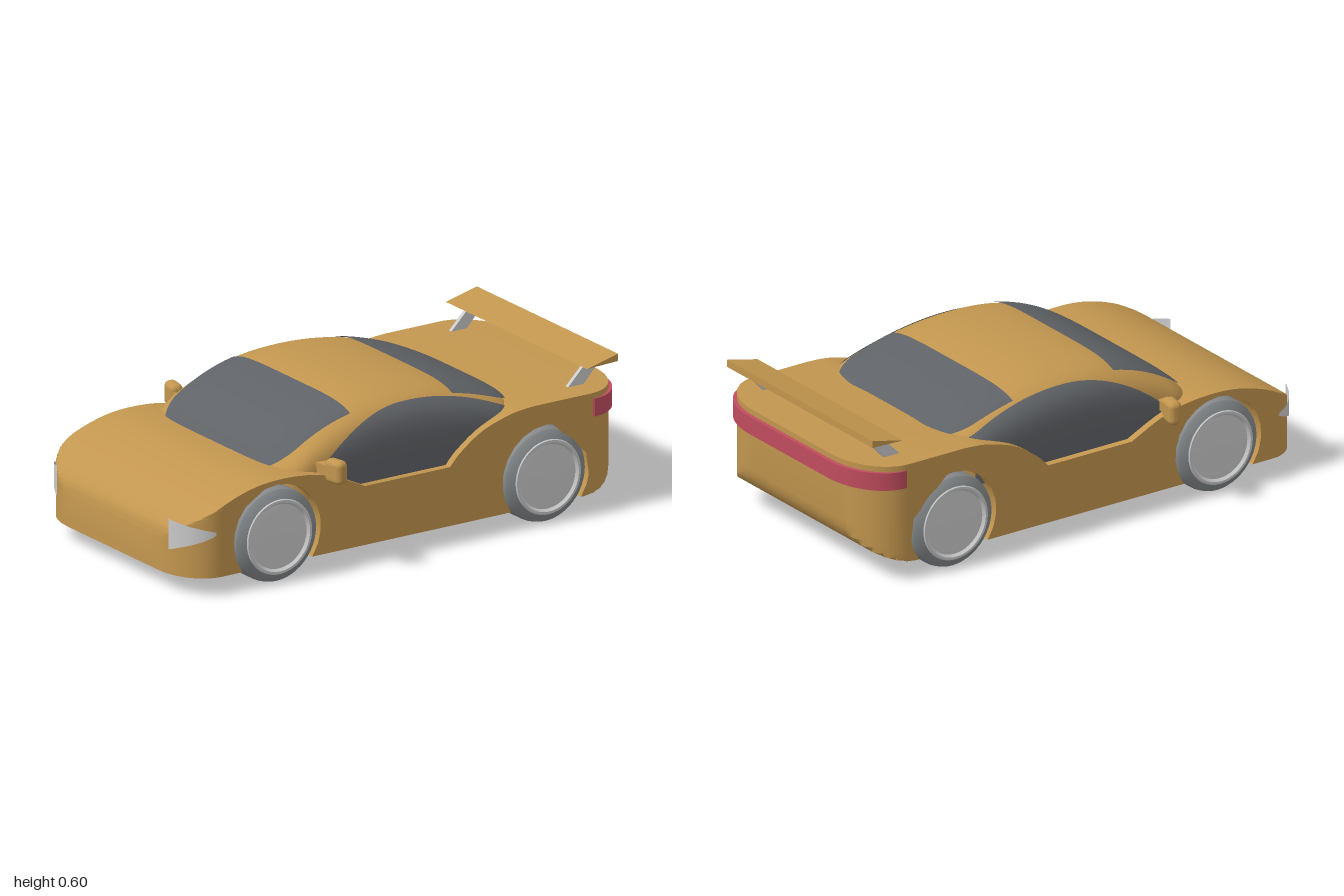
import * as THREE from 'three';
import { toCreasedNormals } from 'three/addons/utils/BufferGeometryUtils.js';
import { RoundedBoxGeometry } from 'three/addons/geometries/RoundedBoxGeometry.js';
import { ParametricGeometry } from 'three/addons/geometries/ParametricGeometry.js';

const mat = (color, side = THREE.FrontSide) => new THREE.MeshStandardMaterial({ color, side });
const paint = mat(0xc2964f), paintShell = mat(0xc2964f, THREE.DoubleSide);
const glass = mat(0x5f6266, THREE.DoubleSide), red = mat(0xc04c5e);
const rubber = mat(0x85898b), metal = mat(0xcccccc), lamp = mat(0xcccccc, THREE.DoubleSide);

const W = 0.495; // half width of the body
const WELL = 0.33; // inner wall of the wheel wells
const AXLES = { front: -0.603, rear: 0.6 };

// Plan outline: how far the body reaches forward and back at a given z
const corner = (z, start) => {
  const s = Math.min(1, Math.max(0, (Math.abs(z) - start) / (W - start)));
  return 1 - Math.sqrt(1 - s * s);
};
const noseX = z => -1 + 0.15 * corner(z, 0.3);
const tailX = z => 0.98 - 0.18 * corner(z, 0.25);

// Side profile of the body, with or without wheel arches
function bodyProfile(arches) {
  const v = pts => pts.map(p => new THREE.Vector2(...p));
  const s = new THREE.Shape();
  s.moveTo(-1, 0.07);
  s.lineTo(-1, 0.2);
  s.splineThru(v([[-0.985, 0.25], [-0.93, 0.3], [-0.82, 0.355], [-0.7, 0.39], [-0.58, 0.4],
    [-0.45, 0.39], [-0.34, 0.36], [-0.21, 0.3]]));
  s.lineTo(0.17, 0.3);
  s.splineThru(v([[0.22, 0.35], [0.32, 0.415], [0.45, 0.455], [0.55, 0.465]]));
  s.lineTo(0.98, 0.465);
  s.lineTo(0.98, 0.22);
  s.bezierCurveTo(0.97, 0.13, 0.89, 0.08, 0.77, 0.07);
  if (arches) {
    const r = 0.195, cy = 0.187, a = Math.asin((cy - 0.07) / r);
    for (const x of [AXLES.rear, AXLES.front]) s.absarc(x, cy, r, -a, Math.PI + a, false);
  }
  s.closePath();
  return s;
}

// Extrude the profile across z, then trim it to the rounded plan outline
function bodySlice(arches, zAt) {
  const g = new THREE.ExtrudeGeometry(bodyProfile(arches),
    { depth: 1, steps: 14, bevelEnabled: false, curveSegments: 8 });
  const p = g.attributes.position;
  for (let i = 0; i < p.count; i++) {
    const z = zAt(p.getZ(i));
    p.setXYZ(i, Math.min(tailX(z), Math.max(noseX(z), p.getX(i))), p.getY(i), z);
  }
  return toCreasedNormals(g, 0.5);
}

// Cabin: superellipse cross-sections under a roof curve
const N = 5, BASE = 0.28, X0 = -0.55, X1 = 0.54;
const roofY = x => x < 0 ? 0.597 - 0.207 * Math.pow(x / X0, 2.4 - 0) : 0.597 - 0.132 * (x / X1) ** 2;
const cabinW = x => {
  const s = Math.min(1, Math.max(0, (X0 + 0.12 - x) / 0.12, (x - X1 + 0.12) / 0.12));
  return 0.34 + 0.12 * Math.sqrt(1 - s * s);
};
const cabinY = (x, f) => BASE + (roofY(x) - BASE) * Math.pow(1 - Math.abs(f) ** N, 1 / N);
const cabinZ = (x, y) => {
  const f = Math.min(1, Math.max(0, (y - BASE) / (roofY(x) - BASE)));
  return cabinW(x) * Math.pow(1 - f ** N, 1 / N);
};

const cabinShell = (u, v, t) => {
  const x = (X0 + X1) / 2 - (X1 - X0) / 2 * Math.cos(Math.PI * Math.min(1, Math.max(0, u)));
  const c = Math.cos(Math.PI * v), s = Math.abs(Math.sin(Math.PI * v));
  t.set(x, BASE + (roofY(x) - BASE) * s ** (2 / N), cabinW(x) * Math.sign(c) * Math.abs(c) ** (2 / N));
};
// Front and rear screens lie just above the shell
const screen = (end, inner) => (u, v, t) => {
  const x = end + (inner - end) * u * u, f = 0.84 * (2 * v - 1);
  t.set(x + Math.sign(end) * 0.003, cabinY(x, f) + 0.004, f * cabinW(x));
};
const windowTop = x => x < 0.03
  ? 0.56 - 0.165 * Math.pow((0.03 - x) / 0.41, 2.2)
  : 0.56 - 0.1 * ((x - 0.03) / 0.44) ** 2;
const sideWindow = side => (u, v, t) => {
  const x = -0.38 + 0.85 * u, y = 0.285 + (windowTop(x) - 0.285) * v;
  t.set(x, y, side * (cabinZ(x, y) + 0.005));
};
// Headlight wraps the nose corner and tapers to a point on the flank
const headlight = side => (u, v, t) => {
  const z = 0.36 + 0.132 * Math.sin(u * Math.PI / 2);
  const lo = 0.17 + 0.07 * u, hi = 0.29 - 0.045 * u;
  t.set(noseX(z) - 0.008 * (1 - u), lo + (hi - lo) * v, side * (z + 0.006));
};

function wheel() {
  const g = new THREE.Group();
  const lathe = (name, pts, m) => {
    const geo = new THREE.LatheGeometry(pts.map(p => new THREE.Vector2(...p)), 48);
    geo.rotateX(Math.PI / 2);
    const mesh = new THREE.Mesh(toCreasedNormals(geo, 0.5), m);
    mesh.name = name;
    g.add(mesh);
  };
  lathe('tyre', [[0, 0.338], [0.165, 0.338], [0.178, 0.348], [0.182, 0.365], [0.182, 0.47],
    [0.178, 0.488], [0.168, 0.498], [0.145, 0.51], [0.13, 0.504]], rubber);
  lathe('rimRing', [[0.148, 0.507], [0.143, 0.514], [0.134, 0.514], [0.125, 0.503]], metal);
  lathe('rimFace', [[0.132, 0.503], [0.1, 0.505], [0, 0.505]], metal);
  return g;
}

export function createModel() {
  const car = new THREE.Group();
  const add = (name, geo, m, parent = car) => {
    const mesh = new THREE.Mesh(geo, m);
    mesh.name = name;
    parent.add(mesh);
    return mesh;
  };
  const patch = (name, fn, nu, nv, m) => add(name, new ParametricGeometry(fn, nu, nv), m);

  // Body: a centre slice and two flanks with wheel arches
  const ease = k => WELL + (W - WELL) * Math.sin(k * Math.PI / 2);
  add('bodyCentre', bodySlice(false, k => WELL * (2 * k - 1)), paint);
  add('bodyLeftFlank', bodySlice(true, k => ease(k)), paint);
  add('bodyRightFlank', bodySlice(true, k => -ease(1 - k)), paint);

  // Cabin and glazing
  patch('cabin', cabinShell, 64, 96, paintShell);
  patch('windshield', screen(X0, -0.2), 20, 40, glass);
  patch('rearWindow', screen(X1, 0.25), 20, 40, glass);

  // Tail light band following the rear outline
  const band = new THREE.Shape();
  band.moveTo(0.75, 0.45);
  band.lineTo(0.75, -0.45);
  for (let i = 0; i <= 48; i++) {
    const z = W * Math.sin((i / 24 - 1) * Math.PI / 2);
    band.lineTo(tailX(z) + 0.016, z * 1.006);
  }
  const bandGeo = new THREE.ExtrudeGeometry(band, { depth: 0.07, bevelEnabled: false });
  bandGeo.rotateX(Math.PI / 2).translate(0, 0.443, 0);
  add('tailLight', toCreasedNormals(bandGeo, 0.5), red);

  // Rear wing on two struts
  const prism = (pts, depth) => new THREE.ExtrudeGeometry(
    new THREE.Shape(pts.map(p => new THREE.Vector2(...p))), { depth, bevelEnabled: false })
    .translate(0, 0, -depth / 2);
  add('wing', prism([[0.805, 0.55], [0.945, 0.555], [0.945, 0.583]], 0.925), paint);

  for (const side of [1, -1]) {
    const label = side > 0 ? 'Left' : 'Right';
    patch('sideWindow' + label, sideWindow(side), 48, 16, glass);
    patch('headlight' + label, headlight(side), 16, 2, lamp);
    add('wingStrut' + label,
      prism([[0.765, 0.46], [0.835, 0.46], [0.925, 0.558], [0.86, 0.555]], 0.016), metal)
      .position.z = side * 0.382;

    // Door mirror: stem and rounded housing, swept back
    const mirror = new THREE.Group();
    mirror.name = 'mirror' + label;
    add('mirrorStem', new THREE.BoxGeometry(0.04, 0.04, 0.09), paint, mirror).position.z = side * 0.045;
    add('mirrorHousing', new RoundedBoxGeometry(0.052, 0.094, 0.085, 4, 0.022), paint, mirror)
      .position.z = side * 0.1;
    mirror.position.set(-0.385, 0.398, side * 0.435);
    mirror.rotation.y = side * 0.2;
    car.add(mirror);

    // Wheels
    for (const [axle, x] of Object.entries(AXLES)) {
      const w = wheel();
      w.name = axle + 'Wheel' + label;
      w.position.set(x, 0.182, 0);
      if (side < 0) w.rotation.y = Math.PI;
      car.add(w);
    }
  }
  return car;
}
